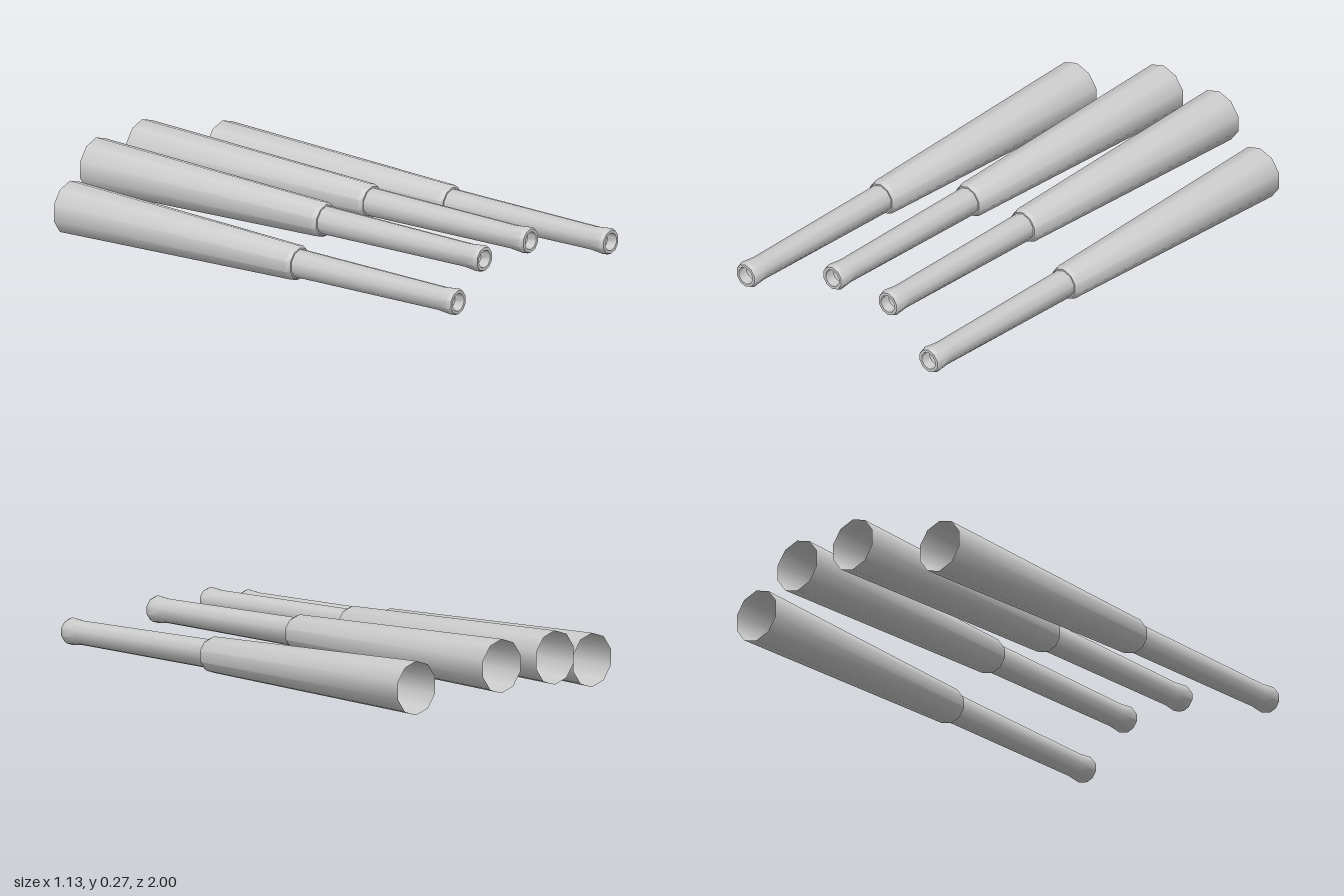
import * as THREE from 'three';
import { toCreasedNormals } from 'three/addons/utils/BufferGeometryUtils.js';

const SIDES = 10;

// Turned section along +z from [radius, z] pairs, with a corner at top and bottom
function turned(profile) {
  const points = profile.map(([r, z]) => new THREE.Vector2(r, z));
  const geometry = new THREE.LatheGeometry(points, SIDES);
  geometry.rotateX(Math.PI / 2);
  return toCreasedNormals(geometry, 0.7);
}

export function createModel() {
  const model = new THREE.Group();
  model.name = 'gunBarrels';
  const material = new THREE.MeshStandardMaterial({ color: 0xcccccc, side: THREE.DoubleSide });

  // Wide tapered sleeve, open at the back, with a chamfered front shoulder
  const sleeve = turned([[0.104, -0.87], [0.07, 0.22], [0.062, 0.238], [0.056, 0.238]]);
  // Slim barrel with a flared muzzle and a shallow closed bore
  const tube = turned([
    [0.056, 0.238], [0.047, 0.925], [0.053, 0.985], [0.047, 1.0],
    [0.035, 1.0], [0.032, 0.96], [0, 0.945],
  ]);

  // Outer pair sits lower and further forward than the inner pair
  const pairs = [
    { name: 'outer', x: 0.466, y: 0.104, z: 0 },
    { name: 'inner', x: 0.141, y: 0.166, z: -0.13 },
  ];
  for (const { name, x, y, z } of pairs) {
    for (const side of [1, -1]) {
      const barrel = new THREE.Group();
      barrel.name = name + (side > 0 ? 'LeftBarrel' : 'RightBarrel');
      barrel.position.set(side * x, y, z);
      const sleeveMesh = new THREE.Mesh(sleeve, material);
      sleeveMesh.name = 'sleeve';
      const tubeMesh = new THREE.Mesh(tube, material);
      tubeMesh.name = 'muzzleTube';
      barrel.add(sleeveMesh, tubeMesh);
      model.add(barrel);
    }
  }
  return model;
}
